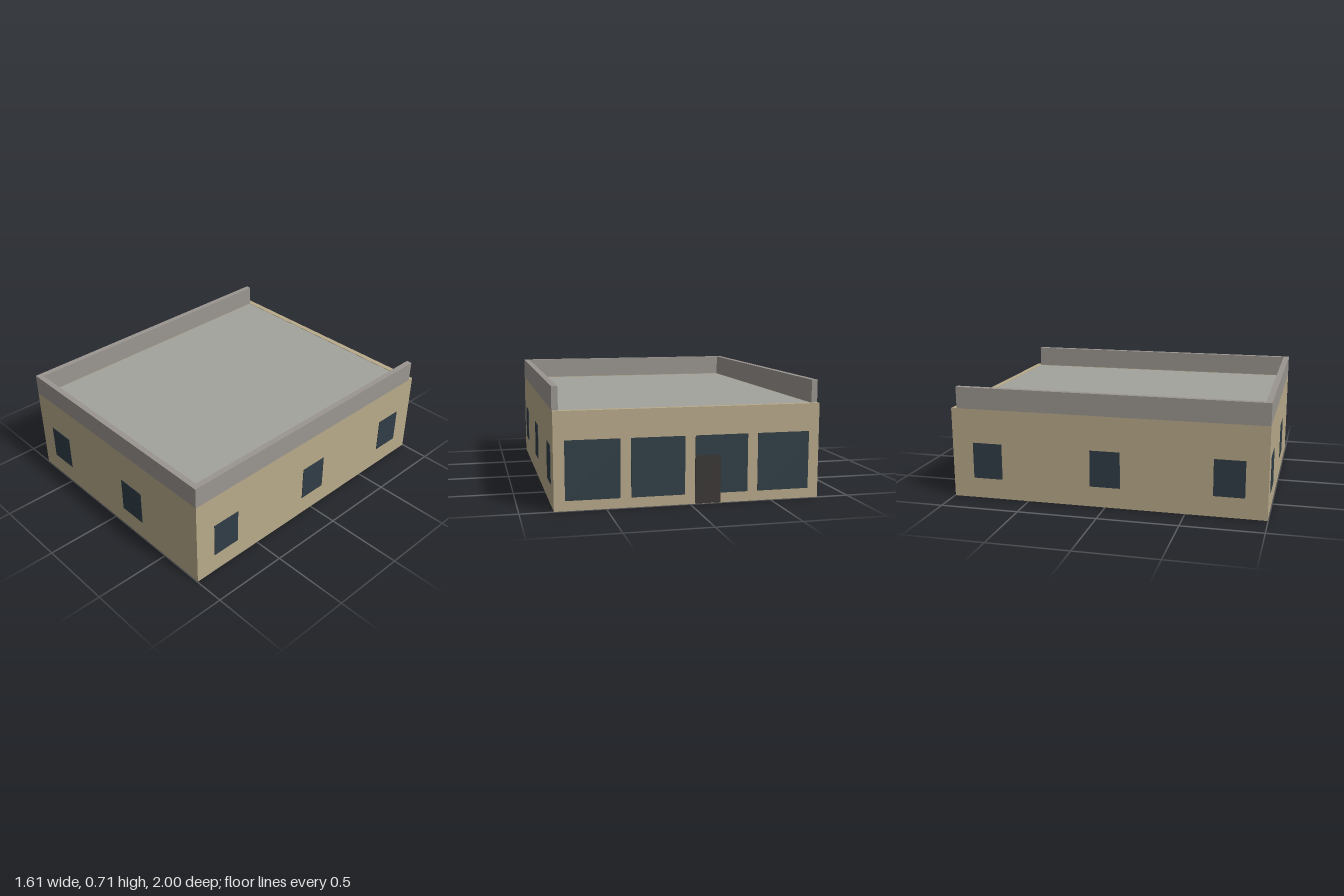
import * as THREE from 'three';

const HX = 0.803, HZ = 0.997;   // half width and half depth of the walls
const T = 0.037;                // wall thickness
const WALL_TOP = 0.578, TOP = 0.715;

const material = (color) => new THREE.MeshStandardMaterial({ color, flatShading: true });
const wallMat = material(0xb8aa8a);
const parapetMat = material(0x9a9590);
const roofMat = material(0xa3a39d);
const glassMat = material(0x2f3d46);
const doorMat = material(0x3a3635);

// Closed outline from [x, z] corners
const outline = (Type, points) => new Type(points.map(([x, z]) => new THREE.Vector2(x, -z)));

// Plan shape raised from y0 to y1
function raise(name, shape, y0, y1, mat) {
  const geometry = new THREE.ExtrudeGeometry(shape, { depth: y1 - y0, bevelEnabled: false });
  geometry.rotateX(-Math.PI / 2).translate(0, y0, 0);
  const mesh = new THREE.Mesh(geometry, mat);
  mesh.name = name;
  return mesh;
}

function box(name, w, h, d, x, y, z, mat) {
  const mesh = new THREE.Mesh(new THREE.BoxGeometry(w, h, d), mat);
  mesh.name = name;
  mesh.position.set(x, y, z);
  return mesh;
}

export function createModel() {
  const model = new THREE.Group();
  model.name = 'building';
  const ix = HX - T, iz = HZ - T;

  // Ring of outer walls, open underneath
  const ring = outline(THREE.Shape, [[-HX, HZ], [HX, HZ], [HX, -HZ], [-HX, -HZ]]);
  ring.holes.push(outline(THREE.Path, [[-ix, iz], [-ix, -iz], [ix, -iz], [ix, iz]]));
  model.add(raise('walls', ring, 0, WALL_TOP, wallMat));

  // Flat roof set between the walls
  model.add(box('roof', 2 * ix, 0.045, 2 * iz, 0, WALL_TOP - 0.0255, 0, roofMat));

  // U-shaped parapet, open at the back
  const parapet = outline(THREE.Shape, [
    [-HX, HZ], [HX, HZ], [HX, -iz], [ix, -iz], [ix, iz], [-ix, iz], [-ix, -iz], [-HX, -iz],
  ]);
  model.add(raise('parapet', parapet, WALL_TOP, TOP, parapetMat));

  // Thin glass panels on the front and both sides
  const P = 0.006;
  for (const x of [-0.577, 0.189]) {
    model.add(box('frontWindow', 0.193, 0.23, P, x, 0.245, HZ, glassMat));
  }
  for (const side of [-1, 1]) {
    for (const z of [-0.765, 0, 0.765]) {
      model.add(box('sideWindow', P, 0.23, 0.191, side * HX, 0.245, z, glassMat));
    }
  }

  // Shopfront glazing and door at the back
  for (let i = 0; i < 4; i++) {
    model.add(box('backWindow', 0.322, 0.35, P, (i - 1.5) * 0.385, 0.235, -HZ, glassMat));
  }
  model.add(box('door', 0.157, 0.29, P + 0.003, -0.108, 0.147, -HZ, doorMat));

  return model;
}
